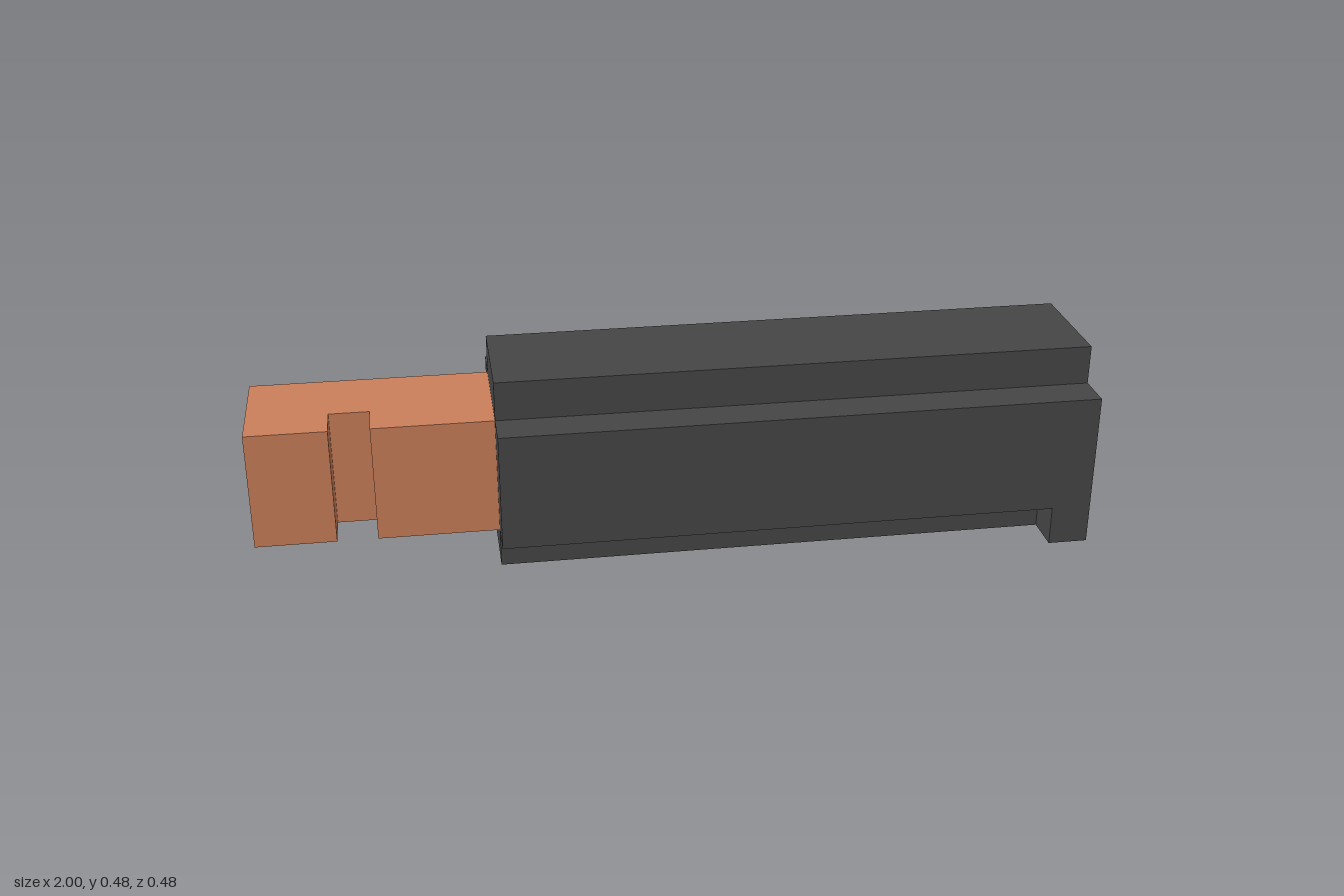
import * as THREE from 'three';

const U = 2 / 21; // grid module: the whole model is 21 modules long

const housingMaterial = new THREE.MeshStandardMaterial({ name: 'darkGrey', color: 0x464646 });
const contactMaterial = new THREE.MeshStandardMaterial({ name: 'copper', color: 0xcb7f5a });

// Extrudes an outline given in grid modules
function prism(points, depth) {
  const shape = new THREE.Shape(points.map(([a, b]) => new THREE.Vector2(a * U, b * U)));
  return new THREE.ExtrudeGeometry(shape, { depth: depth * U, bevelEnabled: false });
}

// Symmetric cross-section (half outline, bottom to top) swept along x
function sweep(name, half, x0, x1) {
  const mirrored = half.map(([z, y]) => [-z, y]).reverse();
  const geometry = prism([...half, ...mirrored], x1 - x0);
  geometry.rotateY(Math.PI / 2).translate(x0 * U, 0, 0);
  const mesh = new THREE.Mesh(geometry, housingMaterial);
  mesh.name = name;
  return mesh;
}

export function createModel() {
  const model = new THREE.Group();
  model.name = 'keyedBlock';

  // Housing: raised ridge on top, narrow keel below
  const shoulders = [[2.5, 4], [1.5, 4], [1.5, 5]];
  model.add(sweep('housing', [[1.5, 0], [1.5, 1], [2.5, 1], ...shoulders], -4.5, 9.5));

  // End stop: full width down to the ground
  model.add(sweep('endStop', [[2.5, 0], ...shoulders], 9.5, 10.5));

  // Contact bar with a notch in its front side, outlined in x and z
  const bar = prism([
    [-10.5, -1.5], [-4.5, -1.5], [-4.5, 1.5], [-7.5, 1.5],
    [-7.5, 0.5], [-8.5, 0.5], [-8.5, 1.5], [-10.5, 1.5],
  ], 3);
  bar.rotateX(Math.PI / 2).translate(0, 4 * U, 0);
  const contact = new THREE.Mesh(bar, contactMaterial);
  contact.name = 'contactBar';
  model.add(contact);

  return model;
}
